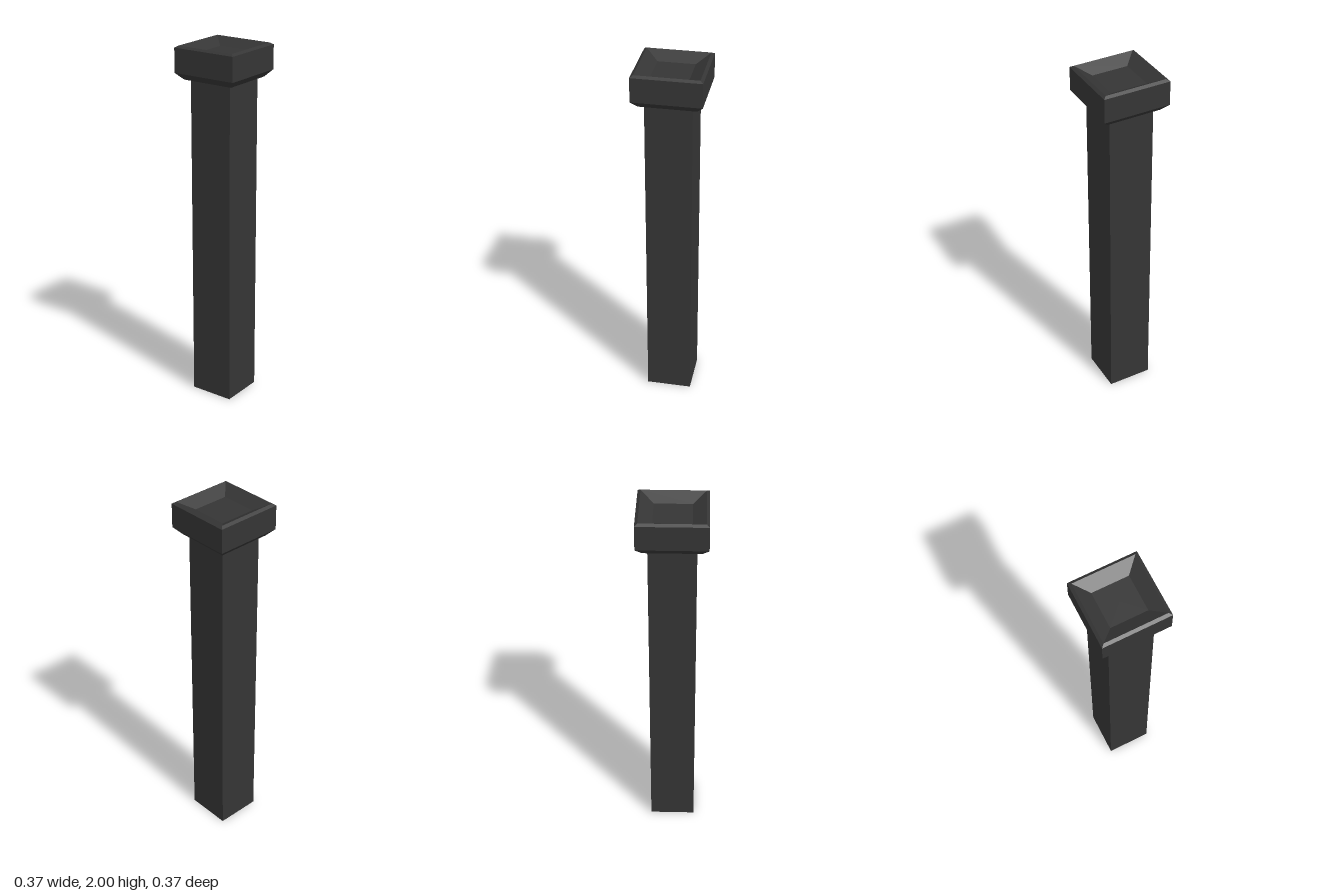
import * as THREE from 'three';

// Square profile solid: each point is [half width, height], listed from bottom to top
function squareLathe(profile) {
  const points = profile.map(([half, y]) => new THREE.Vector2(half * Math.SQRT2, y));
  const geometry = new THREE.LatheGeometry(points, 4, Math.PI / 4).toNonIndexed();
  geometry.computeVertexNormals();
  return geometry;
}

export function createModel() {
  const group = new THREE.Group();
  group.name = 'squarePost';
  const charcoal = new THREE.MeshStandardMaterial({ color: 0x353535 });
  charcoal.name = 'charcoal';

  // Plain square shaft
  const shaft = new THREE.Mesh(new THREE.BoxGeometry(0.25, 1.82, 0.25), charcoal);
  shaft.name = 'shaft';
  shaft.position.y = 0.91;
  group.add(shaft);

  // Cap: chamfered underside, straight sides, bevelled rim and sunken top
  const cap = new THREE.Mesh(squareLathe([
    [0, 1.82],
    [0.15, 1.82],
    [0.185, 1.857],
    [0.185, 1.99],
    [0.169, 2],
    [0.1, 1.96],
    [0, 1.96],
  ]), charcoal);
  cap.name = 'cap';
  group.add(cap);

  return group;
}
